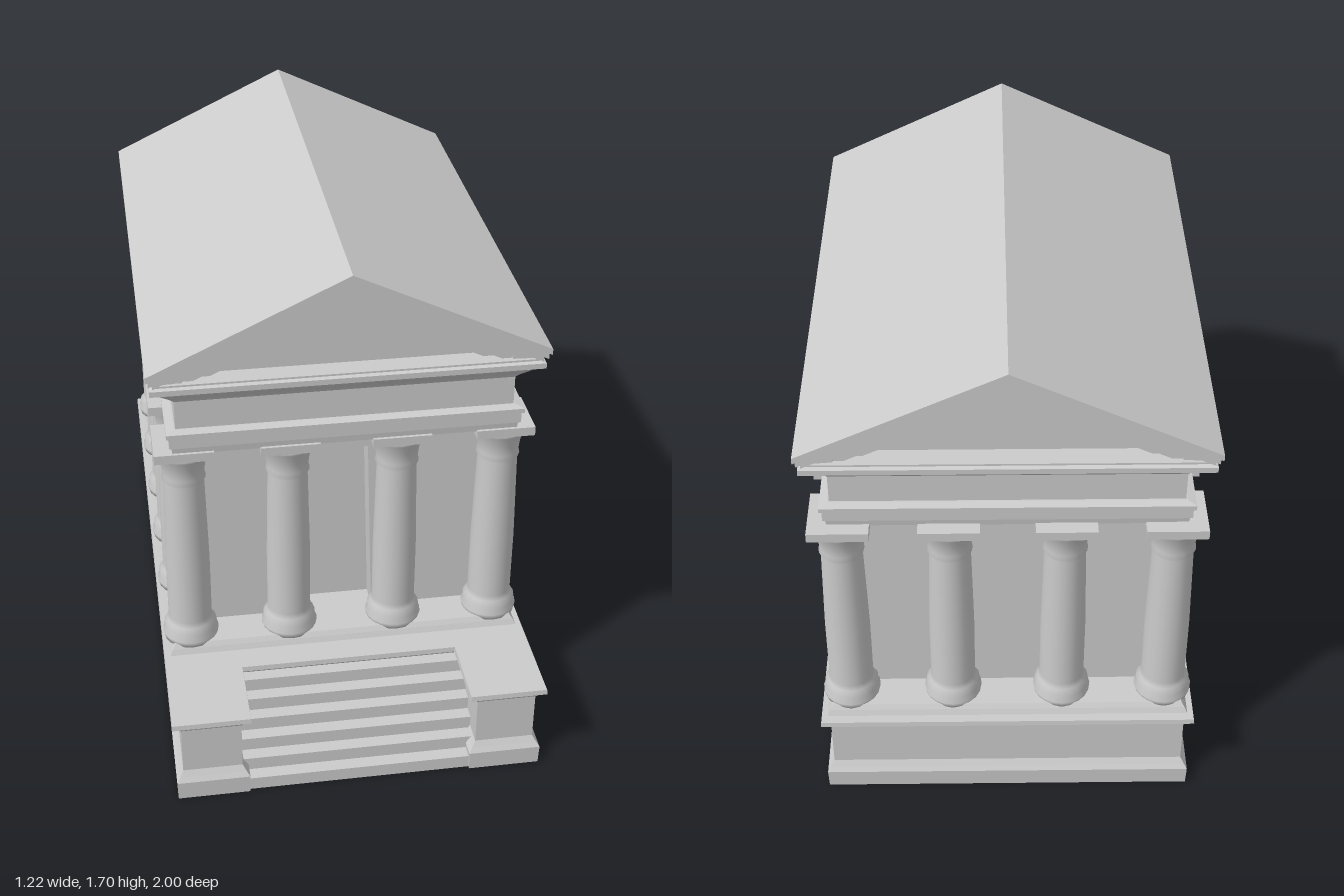
import * as THREE from 'three';

const material = new THREE.MeshStandardMaterial({ color: 0xcccccc });

function add(parent, name, geometry, x = 0, y = 0, z = 0) {
  const mesh = new THREE.Mesh(geometry, material);
  mesh.name = name;
  mesh.position.set(x, y, z);
  parent.add(mesh);
  return mesh;
}

// Moulded solid: a plan of corners [x, z, outX, outZ] swept up a profile of [offset, y].
function moulding(corners, profile) {
  const at = ([x, z, sx, sz], [o, y]) => [x + sx * o, y, z + sz * o];
  const positions = [];
  for (let k = 0; k < profile.length - 1; k++) {
    corners.forEach((c, i) => {
      const n = corners[(i + 1) % corners.length];
      const a = at(c, profile[k]), b = at(n, profile[k]);
      const d = at(c, profile[k + 1]), e = at(n, profile[k + 1]);
      positions.push(...a, ...b, ...e, ...a, ...e, ...d);
    });
  }
  for (const top of [false, true]) {
    const level = profile[top ? profile.length - 1 : 0];
    const points = corners.map((c) => at(c, level));
    const plan = points.map((p) => new THREE.Vector2(p[0], -p[2]));
    for (const [a, b, c] of THREE.ShapeUtils.triangulateShape(plan, [])) {
      for (const i of top ? [a, b, c] : [a, c, b]) positions.push(...points[i]);
    }
  }
  const geometry = new THREE.BufferGeometry();
  geometry.setAttribute('position', new THREE.Float32BufferAttribute(positions, 3));
  geometry.computeVertexNormals();
  return geometry;
}

function rectangle(hx, z0, z1) {
  return [[-hx, z1, -1, 1], [hx, z1, 1, 1], [hx, z0, 1, -1], [-hx, z0, -1, -1]];
}

// Prism centred along z at the middle of the roof
const MID_Z = -0.135;
function prism(points, halfLength) {
  const shape = new THREE.Shape(points.map(([x, y]) => new THREE.Vector2(x, y)));
  const geometry = new THREE.ExtrudeGeometry(shape, { depth: 2 * halfLength, bevelEnabled: false });
  return geometry.translate(0, 0, MID_Z - halfLength);
}

function podium() {
  const group = new THREE.Group();
  group.name = 'podium';
  // U-shaped plan leaves a recess for the stairs between two cheek walls
  const plan = [
    [-0.57, 0.97, -1, 1], [-0.38, 0.97, 1, 1], [-0.38, 0.72, 1, 1], [0.38, 0.72, -1, 1],
    [0.38, 0.97, -1, 1], [0.57, 0.97, 1, 1], [0.57, -0.97, 1, -1], [-0.57, -0.97, -1, -1],
  ];
  add(group, 'podiumBase', moulding(plan, [
    [0.02, 0], [0.022, 0.065], [0.012, 0.08], [0, 0.1], [0, 0.265],
    [0.012, 0.28], [0.018, 0.29], [0.03, 0.295], [0.028, 0.312],
  ]));
  add(group, 'stylobate', moulding(rectangle(0.54, -0.93, 0.62), [[0.04, 0.31], [0.03, 0.33], [0.02, 0.345]]));
  for (let i = 0; i < 6; i++) {
    const front = 0.98 - i * 0.043, back = 0.7, height = 0.045;
    add(group, 'step', new THREE.BoxGeometry(0.77, height, front - back), 0, (i + 0.5) * height, (front + back) / 2);
  }
  return group;
}

function cella() {
  const group = new THREE.Group();
  group.name = 'cella';
  add(group, 'hall', new THREE.BoxGeometry(0.94, 0.78, 1.28), 0, 0.71, -0.2);
  // Front wall with a doorway
  const wall = new THREE.Shape([[-0.47, 0.32], [0.47, 0.32], [0.47, 1.1], [-0.47, 1.1]].map((p) => new THREE.Vector2(...p)));
  wall.holes.push(new THREE.Path([[-0.11, 0.34], [-0.09, 0.98], [0.09, 0.98], [0.11, 0.34]].map((p) => new THREE.Vector2(...p))));
  add(group, 'frontWall', new THREE.ExtrudeGeometry(wall, { depth: 0.08, bevelEnabled: false }), 0, 0, 0.44);
  return group;
}

// Column: moulded base, tapered shaft, flared capital and square abacus
const columnProfile = [
  [0, 0], [0.088, 0], [0.092, 0.02], [0.082, 0.035], [0.086, 0.05], [0.075, 0.065], [0.071, 0.085],
  [0.071, 0.3], [0.064, 0.61], [0.07, 0.62], [0.066, 0.635], [0.07, 0.67], [0.082, 0.71], [0.092, 0.73], [0, 0.73],
].map(([r, y]) => new THREE.Vector2(r, y));
const columnGeometry = new THREE.LatheGeometry(columnProfile, 20);
const abacusGeometry = new THREE.BoxGeometry(0.185, 0.03, 0.185);

function column(x, z) {
  const group = new THREE.Group();
  group.name = 'column';
  add(group, 'shaft', columnGeometry);
  add(group, 'abacus', abacusGeometry, 0, 0.74, 0);
  group.position.set(x, 0.335, z);
  return group;
}

function colonnade() {
  const group = new THREE.Group();
  group.name = 'colonnade';
  const front = 0.565, spacing = 0.287, rows = 6;
  for (let i = 0; i < rows; i++) {
    const z = front - i * spacing;
    const ends = i === 0 || i === rows - 1;
    for (const side of [-1, 1]) {
      group.add(column(side * 0.503, z));
      if (ends) group.add(column(side * 0.175, z));
    }
  }
  return group;
}

function entablature() {
  const group = new THREE.Group();
  group.name = 'entablature';
  const plan = rectangle(0.525, MID_Z - 0.77, MID_Z + 0.77);
  add(group, 'architrave', moulding(plan, [
    [0.012, 1.085], [0.015, 1.11], [0.022, 1.112], [0.022, 1.145], [0.03, 1.15], [0.03, 1.165], [0.005, 1.17],
  ]));
  add(group, 'friezeAndCornice', moulding(plan, [
    [0, 1.165], [0, 1.265], [0.012, 1.28], [0.032, 1.3], [0.05, 1.32], [0.055, 1.328],
    [0.074, 1.33], [0.074, 1.348], [0.062, 1.352], [0.062, 1.358],
  ]));
  return group;
}

function roof() {
  const group = new THREE.Group();
  group.name = 'roof';
  const apex = 1.695, slope = 0.475, foot = 1.353;
  // Raking mouldings, stepping back underneath the roof: [top drop, bottom drop, eave half width, half length]
  const layers = [
    [0, 0.02, 0.61, 0.86], [0.02, 0.042, 0.602, 0.852], [0.042, 0.062, 0.59, 0.84],
    [0.062, 0.085, 0.59, 0.822], [0.085, 0.115, 0.59, 0.812], [0.115, 0.14, 0.59, 0.79],
  ];
  for (const [d0, d1, eave, half] of layers) {
    const outer = Math.min(eave, (apex - d0 - foot) / slope);
    const inner = Math.min(eave, (apex - d1 - foot) / slope);
    const yo = apex - d0 - slope * outer, yi = apex - d1 - slope * inner;
    add(group, d0 === 0 ? 'roofSlopes' : 'rakingCornice', prism([
      [0, apex - d0], [-outer, yo], [-inner, yi], [0, apex - d1], [inner, yi], [outer, yo],
    ], half));
  }
  const w = (apex - 0.13 - foot) / slope;
  add(group, 'tympanum', prism([[-w, foot], [w, foot], [0, apex - 0.13]], 0.765));
  // Eave moulding along each long side
  for (const side of [-1, 1]) {
    add(group, 'eaveMoulding', prism([[0.5, 1.35], [0.582, 1.35], [0.59, 1.382], [0.5, 1.4]].map(([x, y]) => [side * x, y]), 0.82));
  }
  return group;
}

export function createModel() {
  const model = new THREE.Group();
  model.name = 'temple';
  model.add(podium(), cella(), colonnade(), entablature(), roof());
  return model;
}
